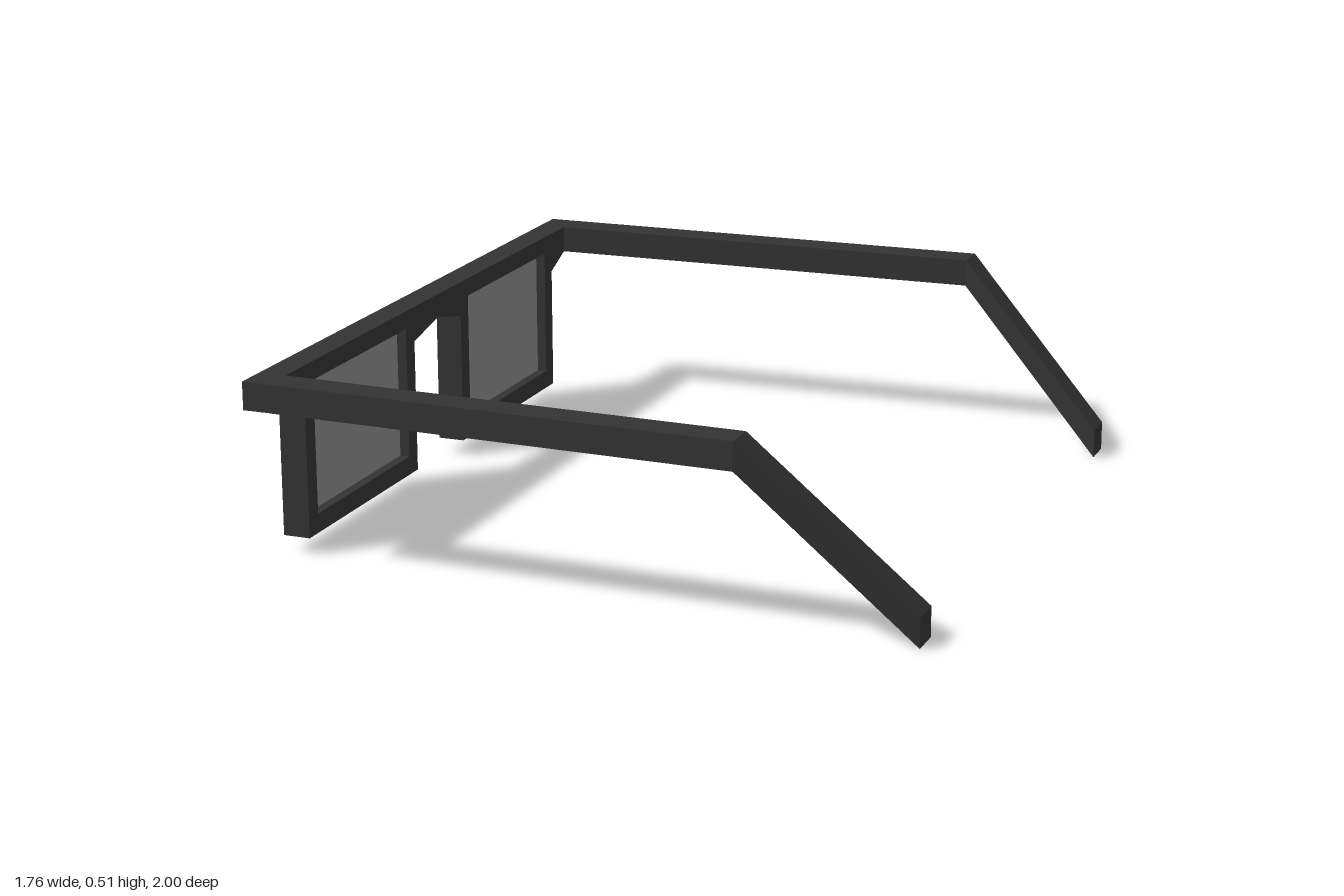
import * as THREE from 'three';

const frameMat = new THREE.MeshStandardMaterial({ color: 0x333333, flatShading: true });
const lensMat = new THREE.MeshStandardMaterial({ color: 0x888888 });

const FRONT = -0.88, BACK = -0.805; // x range of the front frame
const HOLE = { z0: 0.197, z1: 0.732, y0: 0.097, y1: 0.46 };

// Front frame: outline drawn in (z, y), extruded along x
function frontFrame() {
  const half = [[0.147, 0.413], [0.147, 0.045], [0.782, 0.045], [0.782, 0.395], [0.875, 0.435], [0.966, 0.435], [0.966, 0.51]];
  const outline = [[0, 0.445], ...half, ...half.slice().reverse().map(([z, y]) => [-z, y])];
  const shape = new THREE.Shape(outline.map(([z, y]) => new THREE.Vector2(z, y)));
  for (const s of [1, -1]) {
    const corners = [[HOLE.z0, HOLE.y0], [HOLE.z0, HOLE.y1], [HOLE.z1, HOLE.y1], [HOLE.z1, HOLE.y0]];
    shape.holes.push(new THREE.Path(corners.map(([z, y]) => new THREE.Vector2(s * z, y))));
  }
  const geo = new THREE.ExtrudeGeometry(shape, { depth: BACK - FRONT, bevelEnabled: false });
  geo.rotateY(-Math.PI / 2).translate(BACK, 0, 0);
  return new THREE.Mesh(geo, frameMat);
}

// Temple arm: rectangular cross-sections joined from hinge to bend to ear tip
function templeArm(side) {
  const sections = [ // x, bottom y, top y, inner z, outer z
    [BACK, 0.435, 0.51, 0.877, 0.967],
    [0.45, 0.435, 0.51, 0.91, 1.0],
    [0.88, 0, 0.08, 0.78, 0.868],
  ];
  const pos = [], idx = [];
  sections.forEach(([x, yb, yt, zi, zo], k) => {
    const z0 = Math.min(side * zi, side * zo), z1 = Math.max(side * zi, side * zo);
    pos.push(x, yb, z0, x, yb, z1, x, yt, z1, x, yt, z0);
    if (k === 0) return;
    for (let i = 0; i < 4; i++) {
      const j = (i + 1) % 4, a = 4 * (k - 1), b = 4 * k;
      idx.push(a + i, b + i, b + j, a + i, b + j, a + j);
    }
  });
  const e = 4 * (sections.length - 1);
  idx.push(0, 1, 2, 0, 2, 3, e, e + 3, e + 2, e, e + 2, e + 1); // end caps
  const indexed = new THREE.BufferGeometry();
  indexed.setAttribute('position', new THREE.Float32BufferAttribute(pos, 3));
  indexed.setIndex(idx);
  const geo = indexed.toNonIndexed();
  geo.computeVertexNormals();
  return new THREE.Mesh(geo, frameMat);
}

// Thin lens filling the frame opening
function lens(side) {
  const mesh = new THREE.Mesh(new THREE.BoxGeometry(0.02, HOLE.y1 - HOLE.y0, HOLE.z1 - HOLE.z0), lensMat);
  mesh.position.set((FRONT + BACK) / 2, (HOLE.y0 + HOLE.y1) / 2, side * (HOLE.z0 + HOLE.z1) / 2);
  return mesh;
}

export function createModel() {
  const group = new THREE.Group();
  group.name = 'eyeglasses';
  const add = (mesh, name) => { mesh.name = name; group.add(mesh); };
  add(frontFrame(), 'frontFrame');
  for (const [side, label] of [[1, 'Front'], [-1, 'Back']]) {
    add(templeArm(side), 'templeArm' + label);
    add(lens(side), 'lens' + label);
  }
  return group;
}
